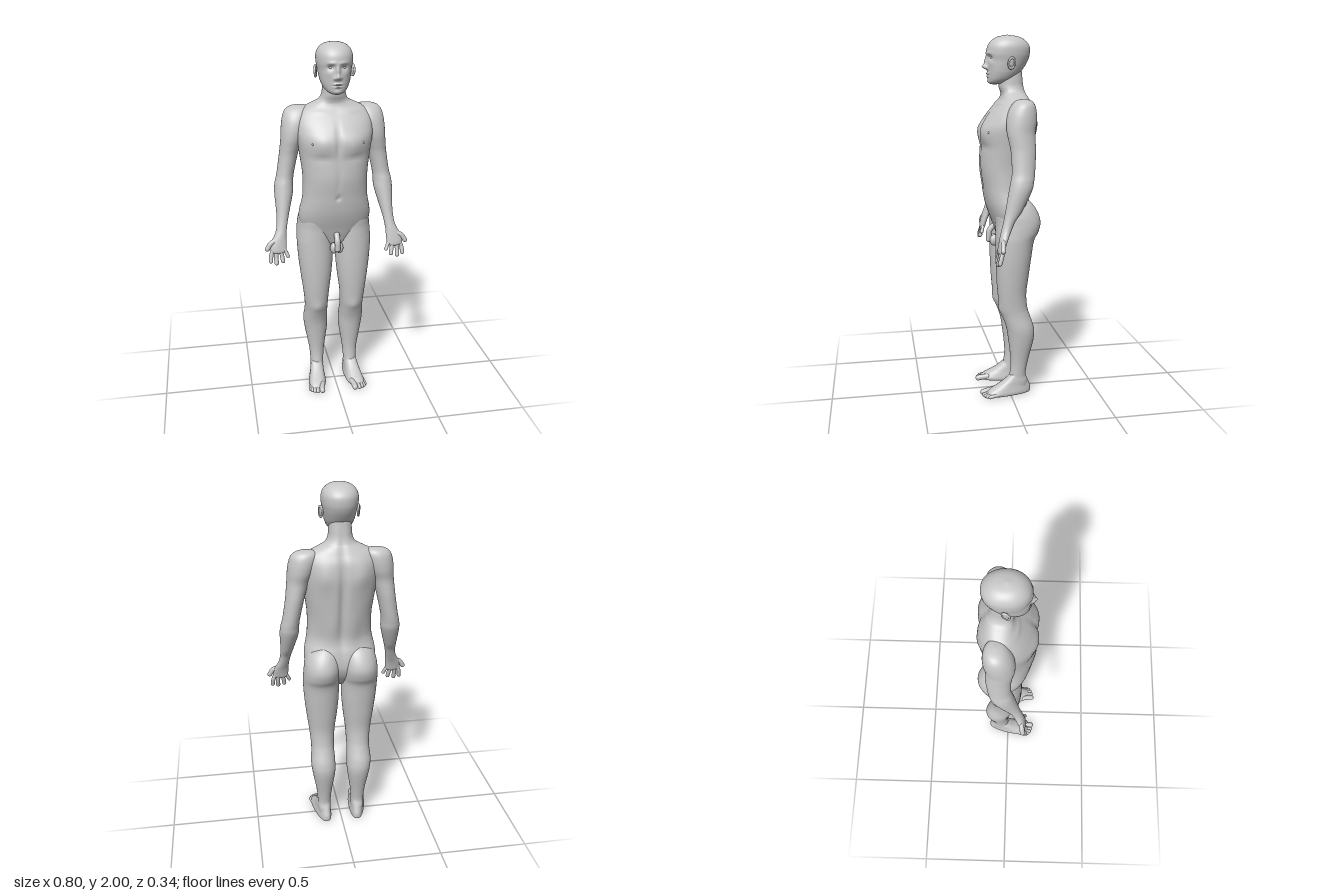
import * as THREE from 'three';
import { mergeGeometries } from 'three/addons/utils/BufferGeometryUtils.js';

const skin = new THREE.MeshStandardMaterial({ color: 0xc8c8c8 });
skin.name = 'plain grey';

// Smooth interpolation through a list of rows, by row number
function sample(rows, t) {
  const i = Math.min(Math.floor(t), rows.length - 2), f = t - i;
  const at = k => rows[Math.max(0, Math.min(rows.length - 1, k))];
  return rows[0].map((_, c) => {
    const [a, b, d, e] = [at(i - 1)[c], at(i)[c], at(i + 1)[c], at(i + 2)[c]];
    return b + 0.5 * f * (d - a + f * (2 * a - 5 * b + 4 * d - e + f * (3 * (b - d) + e - a)));
  });
}

// Skin over level rings [y, centre x, half width, front z, back z], bottom to top.
// n is the squareness of the ring; warp moves each point by a rule.
function loft(rows, { n = 2, seg = 48, steps = 6, warp } = {}) {
  const pos = [], idx = [], count = (rows.length - 1) * steps;
  const pow = v => Math.sign(v) * Math.abs(v) ** (2 / n);
  for (let r = 0; r <= count; r++) {
    const [y, cx, rx, zf, zb] = sample(rows, r / steps);
    for (let j = 0; j < seg; j++) {
      const a = j / seg * Math.PI * 2;
      const p = new THREE.Vector3(cx + rx * pow(Math.cos(a)), y, (zf + zb) / 2 + (zf - zb) / 2 * pow(Math.sin(a)));
      if (warp) warp(p, Math.sin(a));
      pos.push(p.x, p.y, p.z);
      if (r < count) {
        const k = (j + 1) % seg, o = r * seg;
        idx.push(o + j, o + seg + j, o + k, o + k, o + seg + j, o + seg + k);
      }
    }
  }
  // End caps
  for (const [row, r] of [[rows[0], 0], [rows[rows.length - 1], count]]) {
    const c = pos.length / 3;
    pos.push(row[1], row[0], (row[3] + row[4]) / 2);
    for (let j = 0; j < seg; j++) {
      const a = r * seg + j, b = r * seg + (j + 1) % seg;
      if (r === 0) idx.push(c, a, b); else idx.push(c, b, a);
    }
  }
  const g = new THREE.BufferGeometry();
  g.setAttribute('position', new THREE.Float32BufferAttribute(pos, 3));
  g.setIndex(idx);
  g.computeVertexNormals();
  return g;
}

// Soft bumps and hollows [x, y, width, height, amount, 1 front or -1 back], the same on both sides
const sculpt = bumps => (p, s) => {
  let dz = 0;
  for (const [x, y, w, h, amount, face] of bumps)
    dz += face * amount * Math.max(0, face * s) * Math.exp(-(((Math.abs(p.x) - x) / w) ** 2) - ((p.y - y) / h) ** 2);
  p.z += dz;
};

const ball = (x, y, z, rx, ry = rx, rz = rx) =>
  new THREE.SphereGeometry(1, 20, 14).scale(rx, ry, rz).translate(x, y, z);

// Finger or toe: a tube with round ends
function digit(r, ...points) {
  const v = points.map(p => new THREE.Vector3(...p)), tip = v[v.length - 1];
  return mergeGeometries([
    new THREE.TubeGeometry(new THREE.CatmullRomCurve3(v), 10, r, 14),
    ball(...v[0], r), ball(...tip, r)]);
}

function mirrored(geometry) {
  const g = geometry.clone().scale(-1, 1, 1);
  g.setIndex(Array.from(g.index.array).reverse());
  return g;
}

export function createModel() {
  const body = new THREE.Group();
  body.name = 'standing figure';
  const add = (name, g) => {
    const m = new THREE.Mesh(g, skin);
    m.name = name;
    body.add(m);
  };
  const pair = (name, g) => {
    add('left ' + name, g);
    add('right ' + name, mirrored(g));
  };

  // Torso and neck
  add('torso and neck', loft([
    [0.875, 0, 0.02, 0.02, -0.03], [0.9, 0, 0.07, 0.05, -0.06], [0.95, 0, 0.14, 0.07, -0.1],
    [1, 0, 0.185, 0.087, -0.122], [1.05, 0, 0.198, 0.105, -0.125], [1.1, 0, 0.195, 0.12, -0.118],
    [1.15, 0, 0.184, 0.13, -0.105], [1.2, 0, 0.177, 0.137, -0.105], [1.3, 0, 0.176, 0.15, -0.125],
    [1.4, 0, 0.188, 0.147, -0.14], [1.5, 0, 0.203, 0.148, -0.15], [1.56, 0, 0.207, 0.122, -0.148],
    [1.61, 0, 0.2, 0.085, -0.14], [1.65, 0, 0.175, 0.048, -0.122], [1.68, 0, 0.118, 0.033, -0.108],
    [1.7, 0, 0.08, 0.034, -0.098], [1.73, 0, 0.064, 0.044, -0.09], [1.77, 0, 0.06, 0.045, -0.085],
    [1.82, 0, 0.055, 0.04, -0.08],
  ], {
    n: 2.25, seg: 120, warp: sculpt([
      [0.09, 1.49, 0.06, 0.055, 0.012, 1], [0.09, 1.415, 0.06, 0.016, -0.007, 1], // chest
      [0, 1.5, 0.012, 0.08, -0.012, 1], [0, 1.29, 0.014, 0.08, -0.005, 1], // midline
      [0, 1.195, 0.01, 0.012, -0.012, 1], [0.08, 1.645, 0.06, 0.012, 0.007, 1], // navel, collarbones
      [0, 1.4, 0.02, 0.24, -0.02, -1], [0.1, 1.54, 0.05, 0.07, 0.012, -1], // spine, shoulder blades
      [0.06, 1.22, 0.035, 0.1, 0.008, -1],
    ]),
  }));
  pair('nipple', ball(0.135, 1.495, 0.122, 0.006));

  // Head and face
  add('head', loft([
    [1.742, 0, 0.022, 0.088, 0.04], [1.752, 0, 0.044, 0.099, 0], [1.77, 0, 0.062, 0.103, -0.04],
    [1.8, 0, 0.076, 0.105, -0.07], [1.83, 0, 0.083, 0.107, -0.092], [1.865, 0, 0.089, 0.106, -0.112],
    [1.9, 0, 0.095, 0.11, -0.123], [1.94, 0, 0.094, 0.104, -0.122], [1.97, 0, 0.079, 0.083, -0.1],
    [1.99, 0, 0.05, 0.05, -0.065], [2, 0, 0.003, 0, -0.006],
  ], {
    n: 2.15, seg: 128, steps: 12, warp: sculpt([
      [0, 1.834, 0.012, 0.013, 0.024, 1], [0, 1.862, 0.01, 0.025, 0.016, 1], // nose
      [0.015, 1.828, 0.007, 0.008, 0.01, 1],
      [0.035, 1.882, 0.018, 0.013, -0.013, 1], [0.03, 1.904, 0.026, 0.009, 0.005, 1], // sockets, brow
      [0.05, 1.85, 0.018, 0.015, 0.004, 1], // cheeks
      [0, 1.798, 0.023, 0.006, 0.007, 1], [0, 1.783, 0.019, 0.006, 0.007, 1], // lips
      [0, 1.791, 0.026, 0.003, -0.004, 1], [0, 1.757, 0.018, 0.011, 0.005, 1], // mouth line, chin
    ]),
  }));
  pair('eye', ball(0.034, 1.88, 0.08, 0.013, 0.01, 0.013));
  pair('ear', mergeGeometries([
    ball(0, 0, 0, 0.006, 0.026, 0.016),
    new THREE.TorusGeometry(0.018, 0.005, 10, 28).rotateY(Math.PI / 2).scale(1.2, 1.5, 1),
  ]).rotateY(0.35).rotateX(-0.15).translate(0.098, 1.852, -0.008));

  // Arms and hands
  pair('arm', loft([
    [0.883, 0.322, 0.02, 0.1, 0.085], [0.895, 0.325, 0.04, 0.107, 0.075], [0.92, 0.325, 0.044, 0.104, 0.067],
    [0.95, 0.32, 0.041, 0.098, 0.056], [0.98, 0.311, 0.033, 0.091, 0.042], [1.01, 0.303, 0.029, 0.082, 0.028],
    [1.05, 0.296, 0.03, 0.071, 0.008], [1.1, 0.289, 0.036, 0.06, -0.028], [1.2, 0.278, 0.051, 0.04, -0.08],
    [1.25, 0.274, 0.05, 0.03, -0.093], [1.3, 0.265, 0.047, 0.021, -0.1], [1.4, 0.246, 0.05, 0.023, -0.108],
    [1.45, 0.236, 0.054, 0.031, -0.108], [1.5, 0.225, 0.06, 0.04, -0.108], [1.55, 0.212, 0.07, 0.04, -0.118],
    [1.6, 0.2, 0.075, 0.03, -0.12], [1.64, 0.19, 0.071, 0.008, -0.113], [1.662, 0.182, 0.05, -0.018, -0.095],
    [1.67, 0.178, 0.008, -0.052, -0.062],
  ]));
  pair('hand', mergeGeometries([
    digit(0.0115, [0.353, 0.91, 0.086], [0.366, 0.875, 0.093], [0.37, 0.843, 0.102]),
    digit(0.012, [0.336, 0.9, 0.09], [0.34, 0.865, 0.097], [0.339, 0.833, 0.107]),
    digit(0.0115, [0.314, 0.9, 0.091], [0.308, 0.87, 0.098], [0.304, 0.842, 0.106]),
    digit(0.01, [0.296, 0.91, 0.09], [0.284, 0.888, 0.095], [0.276, 0.868, 0.101]),
    digit(0.0135, [0.333, 0.957, 0.078], [0.365, 0.942, 0.084], [0.386, 0.912, 0.088]),
  ]));

  // Legs and buttocks
  pair('leg', loft([
    [0.04, 0.1, 0.034, 0.01, -0.1], [0.08, 0.1, 0.038, 0.012, -0.1], [0.12, 0.1, 0.038, 0.001, -0.09],
    [0.2, 0.1, 0.045, -0.004, -0.104], [0.33, 0.102, 0.066, 0.01, -0.135], [0.4, 0.105, 0.07, 0.022, -0.133],
    [0.47, 0.104, 0.066, 0.045, -0.11], [0.52, 0.104, 0.067, 0.06, -0.096], [0.6, 0.105, 0.074, 0.07, -0.09],
    [0.7, 0.105, 0.087, 0.077, -0.102], [0.8, 0.106, 0.097, 0.08, -0.115], [0.9, 0.108, 0.101, 0.08, -0.13],
    [0.95, 0.107, 0.101, 0.08, -0.155], [1, 0.104, 0.1, 0.08, -0.167], [1.05, 0.1, 0.096, 0.085, -0.155],
    [1.1, 0.093, 0.08, 0.085, -0.125], [1.14, 0.085, 0.03, 0.05, -0.08],
  ], {
    n: 2.1, warp: p => { // kneecap
      if (p.z > 0) p.z += 0.007 * Math.exp(-(((p.x - 0.104) / 0.03) ** 2) - ((p.y - 0.51) / 0.035) ** 2);
    },
  }));

  // Feet, spread and turned out towards the toes
  pair('foot', loft([
    [0, 0.1, 0.03, 0.11, -0.105], [0.006, 0.1, 0.041, 0.132, -0.117], [0.02, 0.1, 0.044, 0.137, -0.12],
    [0.04, 0.1, 0.041, 0.112, -0.118], [0.06, 0.1, 0.038, 0.075, -0.11], [0.085, 0.1, 0.036, 0.035, -0.1],
    [0.12, 0.1, 0.03, -0.005, -0.085],
  ], {
    n: 2.5, warp: p => {
      const t = p.z + 0.05;
      p.x = 0.1 + (p.x - 0.1) * (1 + 1.8 * t) + 0.12 * t;
    },
  }));
  const toes = [[0.098, 0.155, 0.016], [0.124, 0.154, 0.011], [0.141, 0.147, 0.0105], [0.154, 0.138, 0.01], [0.164, 0.124, 0.0095]];
  pair('toes', mergeGeometries(toes.map(([x, z, r]) =>
    digit(r, [x - 0.008, r + 0.01, z - 0.055], [x - 0.002, r + 0.005, z - 0.02], [x, r + 0.001, z]))));

  // Groin
  add('groin', mergeGeometries([
    digit(0.016, [0, 0.965, 0.078], [0, 0.935, 0.1], [0, 0.888, 0.103]),
    ball(0.016, 0.885, 0.075, 0.021, 0.032, 0.024),
    ball(-0.016, 0.885, 0.075, 0.021, 0.032, 0.024),
  ]));
  return body;
}
